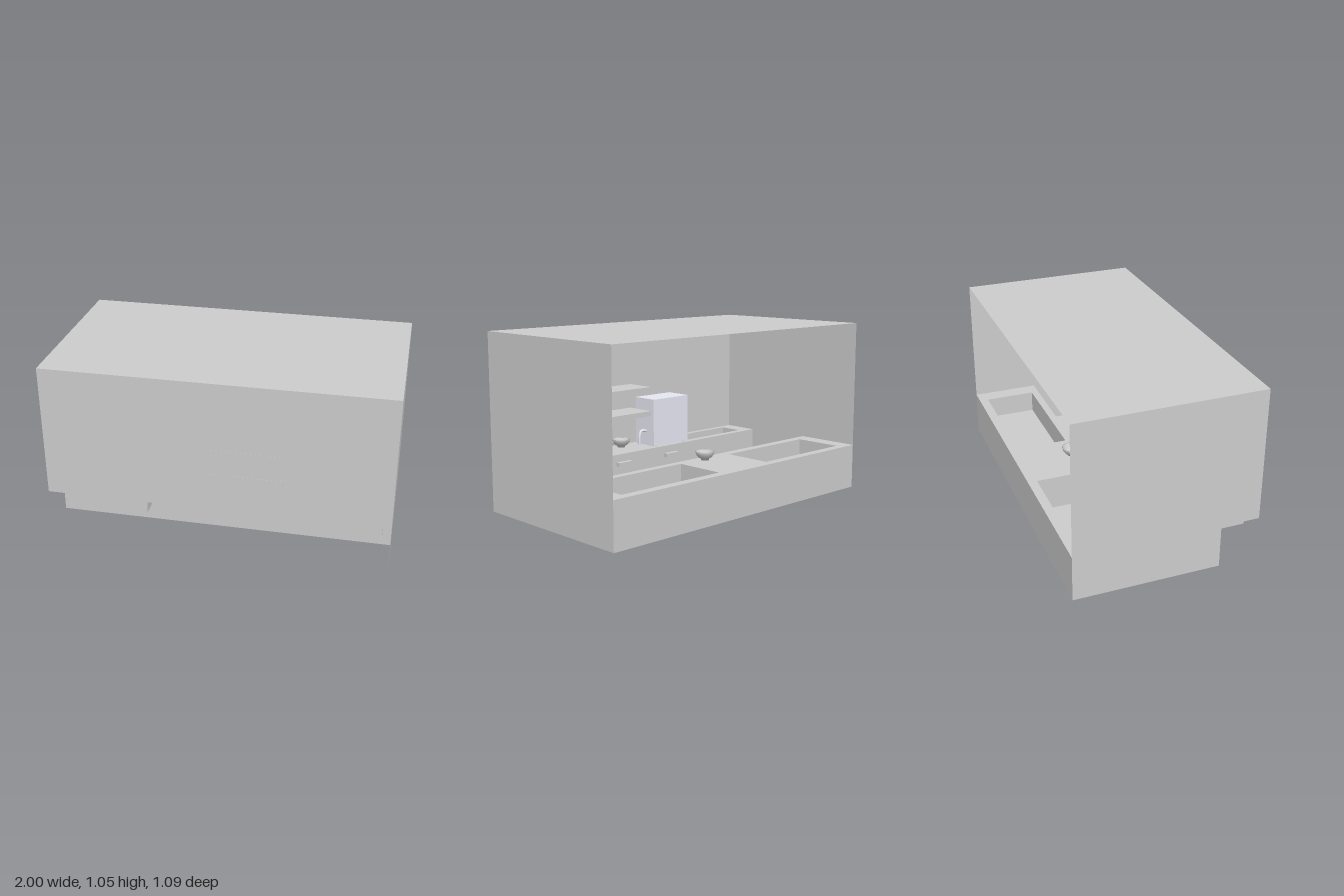
import * as THREE from 'three';

const grey = new THREE.MeshStandardMaterial({ color: 0xcccccc, side: THREE.DoubleSide });
const steel = new THREE.MeshStandardMaterial({ color: 0xe6e6f2, side: THREE.DoubleSide });

const X = 1, H = 1.055, Z = 0.545;
const BAR_Z = 0.315, BAR_H = 0.262;      // wall-side counter
const DESK_Z = -0.135, DESK_H = 0.275;   // open-side counter

function add(parent, name, geometry, material = grey) {
  const mesh = new THREE.Mesh(geometry, material);
  mesh.name = name;
  parent.add(mesh);
  return mesh;
}

// Solid block given by its limits on each axis
function block(parent, name, [x0, x1], [y0, y1], [z0, z1], material) {
  const g = new THREE.BoxGeometry(x1 - x0, y1 - y0, z1 - z0);
  g.translate((x0 + x1) / 2, (y0 + y1) / 2, (z0 + z1) / 2);
  return add(parent, name, g, material);
}

// Thin upright sheet facing z
function sheetZ(parent, name, [x0, x1], [y0, y1], z) {
  const g = new THREE.PlaneGeometry(x1 - x0, y1 - y0);
  g.translate((x0 + x1) / 2, (y0 + y1) / 2, z);
  return add(parent, name, g);
}

// Thin upright sheet facing x, outlined by [z, y] points
function sheetX(parent, name, points, x) {
  const g = new THREE.ShapeGeometry(new THREE.Shape(points.map(([z, y]) => new THREE.Vector2(-z, y))));
  g.rotateY(Math.PI / 2).translate(x, 0, 0);
  return add(parent, name, g);
}

const rectangle = (a, b) => [[a[0], b[0]], [a[1], b[0]], [a[1], b[1]], [a[0], b[1]]];

// Thin level sheet with rectangular openings
function sheetY(parent, name, xs, zs, y, holes = []) {
  const outline = (a, b) => rectangle(a, b).map(([u, v]) => new THREE.Vector2(u, -v));
  const shape = new THREE.Shape(outline(xs, zs));
  for (const h of holes) shape.holes.push(new THREE.Path(outline(h.x, h.z)));
  const g = new THREE.ShapeGeometry(shape);
  g.rotateX(-Math.PI / 2).translate(0, y, 0);
  return add(parent, name, g);
}

// Box open at the top
function basin(parent, { x, z, bottom }, top) {
  const mesh = block(parent, 'basin', x, [bottom, top], z);
  const index = Array.from(mesh.geometry.index.array);
  index.splice(12, 6);
  mesh.geometry.setIndex(index);
  mesh.geometry.clearGroups();
}

function bowl(parent, x, y, z) {
  const profile = [
    [0, 0], [0.024, 0], [0.024, 0.008], [0.042, 0.018], [0.054, 0.036], [0.058, 0.052],
    [0.053, 0.052], [0.048, 0.036], [0.036, 0.022], [0, 0.014],
  ].map(([r, h]) => new THREE.Vector2(r, h));
  add(parent, 'bowl', new THREE.LatheGeometry(profile, 24)).position.set(x, y, z);
}

export function createModel() {
  const model = new THREE.Group();
  model.name = 'kitchenRoom';

  // Room shell: open at the back and below the front wall
  const room = new THREE.Group();
  room.name = 'room';
  model.add(room);
  sheetZ(room, 'frontWall', [-X, X], [BAR_H, H], Z);
  sheetY(room, 'ceiling', [-X, X], [-Z, Z], H);
  sheetY(room, 'floor', [-X, X], [DESK_Z, BAR_Z], 0);
  const wall = [
    [DESK_Z, 0], [BAR_Z, 0], [BAR_Z, BAR_H], [Z, BAR_H],
    [Z, H], [-Z, H], [-Z, DESK_H], [DESK_Z, DESK_H],
  ];
  for (const s of [-1, 1]) sheetX(room, 'sideWall', wall, s * X);

  // Wall shelves, set through the front wall
  block(room, 'lowerShelf', [-0.065, 0.39], [0.463, 0.495], [0.35, Z + 0.001]);
  block(room, 'upperShelf', [-0.065, 0.38], [0.622, 0.65], [0.35, Z + 0.001]);

  // Counter under the front wall, with hanging basins
  const bar = new THREE.Group();
  bar.name = 'wallCounter';
  model.add(bar);
  const barBasins = [
    { x: [0.42, 0.95], z: [0.36, 0.51], bottom: 0.17 },
    { x: [-0.9, -0.41], z: [0.36, 0.51], bottom: 0.17 },
  ];
  // The basins meet the cabinet face underneath
  for (const b of barBasins) basin(bar, b, BAR_H);
  sheetY(bar, 'counterTop', [-X, X], [BAR_Z, Z], BAR_H, barBasins);
  sheetZ(bar, 'counterPanel', [-X, X], [0, BAR_H], BAR_Z);
  sheetX(bar, 'counterEnd', rectangle([BAR_Z, Z], [0, BAR_H]), X);
  for (const x of [-0.2, 0.2]) {
    block(bar, 'handle', [x - 0.053, x + 0.053], [0.19, 0.215], [0.285, 0.317]);
  }

  // Counter along the open side, hollow underneath
  const desk = new THREE.Group();
  desk.name = 'openCounter';
  model.add(desk);
  const deskBasins = [
    { x: [0.18, 0.9], z: [-0.49, -0.18], bottom: 0.14 },
    { x: [-0.9, -0.22], z: [-0.49, -0.19], bottom: 0.07 },
  ];
  for (const b of deskBasins) basin(desk, b, DESK_H);
  sheetY(desk, 'counterTop', [-X, X], [-Z, DESK_Z], DESK_H, deskBasins);
  for (const z of [-Z, DESK_Z]) sheetZ(desk, 'counterPanel', [-X, X], [0, DESK_H], z);
  for (const x of [-X, X]) {
    sheetX(desk, 'counterEnd', rectangle([-Z, DESK_Z], [0, DESK_H]), x);
  }
  block(desk, 'handle', [-0.13, -0.03], [0.2, 0.22], [DESK_Z - 0.003, DESK_Z + 0.03]);

  // Bowls
  for (const x of [0.345, 0.205, 0.07]) bowl(model, x, BAR_H, 0.485);
  bowl(model, 0, DESK_H, -0.2);

  // Drinks machine with feet and a side spout
  const machine = new THREE.Group();
  machine.name = 'drinksMachine';
  model.add(machine);
  block(machine, 'machineBody', [-0.37, -0.07], [0.268, 0.57], [0.328, 0.5], steel);
  for (const x of [-0.35, -0.1]) {
    for (const z of [0.35, 0.48]) {
      const foot = add(machine, 'machineFoot', new THREE.CylinderGeometry(0.014, 0.014, 0.014, 12));
      foot.position.set(x, 0.262, z);
    }
  }
  const spout = new THREE.CatmullRomCurve3([
    new THREE.Vector3(-0.07, 0.36, 0.4), new THREE.Vector3(-0.03, 0.365, 0.4),
    new THREE.Vector3(-0.015, 0.34, 0.4), new THREE.Vector3(-0.012, 0.275, 0.4),
  ]);
  add(machine, 'spout', new THREE.TubeGeometry(spout, 16, 0.009, 10), steel);

  return model;
}
